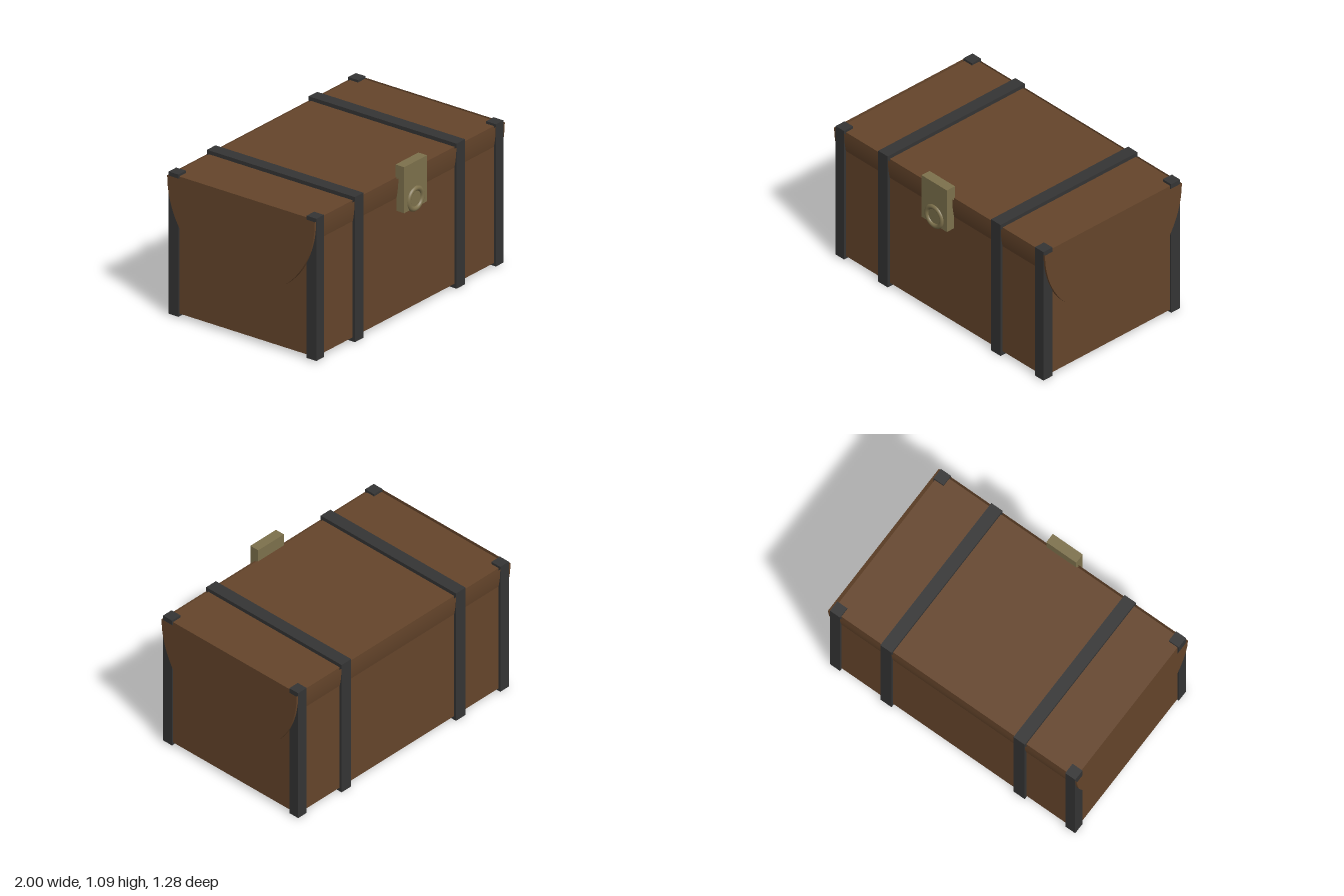
import * as THREE from 'three';

export function createModel() {
  const group = new THREE.Group();
  const material = (name, color, side = THREE.FrontSide) => {
    const m = new THREE.MeshStandardMaterial({ color, side });
    m.name = name;
    return m;
  };
  // the lid is an open shell, so the wood is double sided
  const wood = material('brown wood', 0x65452b, THREE.DoubleSide);
  const iron = material('dark iron', 0x343434);
  const brass = material('dull brass', 0x7d714c);

  const add = (name, geometry, mat, x, y, z) => {
    const mesh = new THREE.Mesh(geometry, mat);
    mesh.name = name;
    mesh.position.set(x, y, z);
    group.add(mesh);
    return mesh;
  };
  // box given by its limits on each axis
  const box = (name, mat, x0, x1, y0, y1, z0, z1) =>
    add(name, new THREE.BoxGeometry(x1 - x0, y1 - y0, z1 - z0), mat,
      (x0 + x1) / 2, (y0 + y1) / 2, (z0 + z1) / 2);

  // chest body
  box('body', wood, -0.975, 0.975, 0.03, 1.003, -0.62, 0.56);

  // half-round shell, curving downwards, with closed ends
  const shell = new THREE.CylinderGeometry(1, 1, 2, 64, 1, false, 0, Math.PI);
  shell.rotateY(-Math.PI / 2); // curved side towards +z
  shell.rotateZ(Math.PI / 2); // axis along x
  shell.rotateX(Math.PI / 2); // curved side down
  shell.scale(1, 0.637, 0.606);
  add('lidShell', shell, wood, 0, 1, -0.03);

  for (const s of [-1, 1]) {
    // strap around the whole chest
    const strap = box('strap', iron, 0.49, 0.58, 0, 1.03, -0.637, 0.578);
    strap.position.x *= s;
    // corner posts
    for (const [z0, z1] of [[0.497, 0.577], [-0.636, -0.556]]) {
      const post = box('cornerPost', iron, 0.905, 0.985, 0.01, 1.02, z0, z1);
      post.position.x *= s;
    }
  }

  // latch plate and ring
  box('latchPlate', brass, -0.12, 0.12, 0.765, 1.092, 0.553, 0.624);
  add('latchRing', new THREE.TorusGeometry(0.071, 0.018, 16, 48), brass, 0, 0.828, 0.62);

  return group;
}
